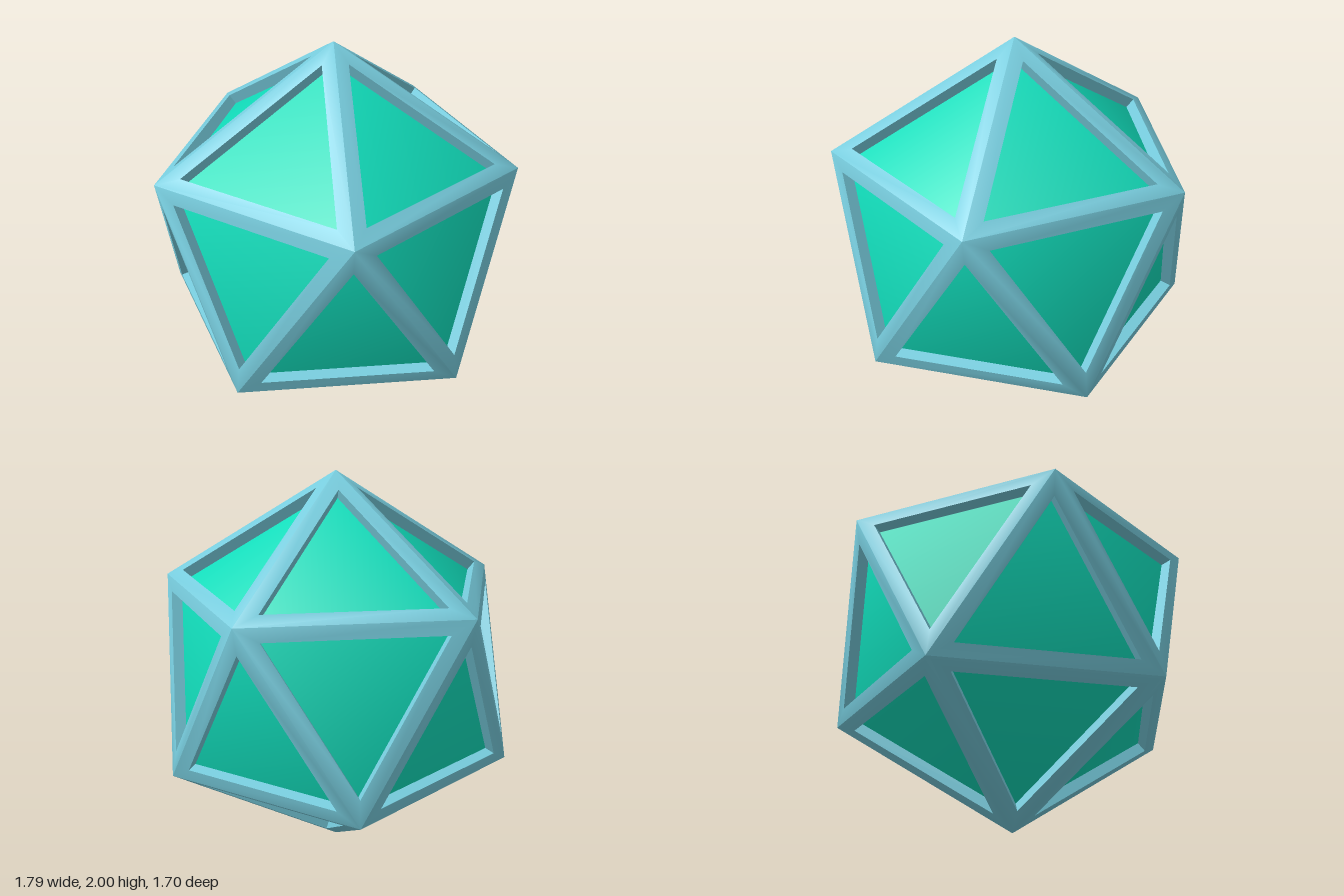
import * as THREE from 'three';
import { toCreasedNormals } from 'three/addons/utils/BufferGeometryUtils.js';

const STRIP = 0.066; // width of the frame on each face
const DEPTH = 0.055; // how far the panels sit below the frame
const CREASE = 0.9; // smooth across the solid's edges, sharp at the windows

// The 20 outward-facing triangles of an icosahedron standing on one corner
function icosahedronFaces() {
  const h = 1 / Math.sqrt(5);
  const corner = (y, step) => {
    const a = (step % 10) * Math.PI / 5;
    return new THREE.Vector3(2 * h * Math.cos(a), y, 2 * h * Math.sin(a));
  };
  const top = new THREE.Vector3(0, 1, 0);
  const bottom = new THREE.Vector3(0, -1, 0);
  const faces = [];
  for (let k = 0; k < 5; k++) {
    const u0 = corner(h, 2 * k), u1 = corner(h, 2 * k + 2);
    const l0 = corner(-h, 2 * k + 1), l1 = corner(-h, 2 * k + 3);
    faces.push([top, u1, u0], [u0, u1, l0], [l0, u1, l1], [bottom, l0, l1]);
  }
  return faces;
}

function makeMesh(name, points, color) {
  const geometry = new THREE.BufferGeometry().setFromPoints(points);
  const mesh = new THREE.Mesh(
    toCreasedNormals(geometry, CREASE),
    new THREE.MeshStandardMaterial({ color })
  );
  mesh.name = name;
  mesh.position.y = 1;
  return mesh;
}

export function createModel() {
  const faces = icosahedronFaces();
  const framePoints = [];
  const panelPoints = [];

  for (const face of faces) {
    const centre = new THREE.Vector3();
    face.forEach((v) => centre.addScaledVector(v, 1 / 3));
    const normal = centre.clone().normalize();
    const inradius = face[0].distanceTo(face[1]) / (2 * Math.sqrt(3));

    // Window corners on the surface, and the same corners sunk to the panel
    const rim = face.map((v) => v.clone().lerp(centre, STRIP / inradius));
    const sunk = rim.map((v) => v.clone().addScaledVector(normal, -DEPTH));

    for (let i = 0; i < 3; i++) {
      const j = (i + 1) % 3;
      framePoints.push(face[i], face[j], rim[j], face[i], rim[j], rim[i]); // strip
      framePoints.push(rim[i], rim[j], sunk[j], rim[i], sunk[j], sunk[i]); // window wall
    }

    // Panels together form a slightly smaller solid inside the frame
    const scale = 1 - DEPTH / centre.length();
    panelPoints.push(...face.map((v) => v.clone().multiplyScalar(scale)));
  }

  const group = new THREE.Group();
  group.name = 'framedIcosahedron';
  group.add(makeMesh('frame', framePoints, 0x77ccdd));
  group.add(makeMesh('panels', panelPoints, 0x11ddbb));
  return group;
}
